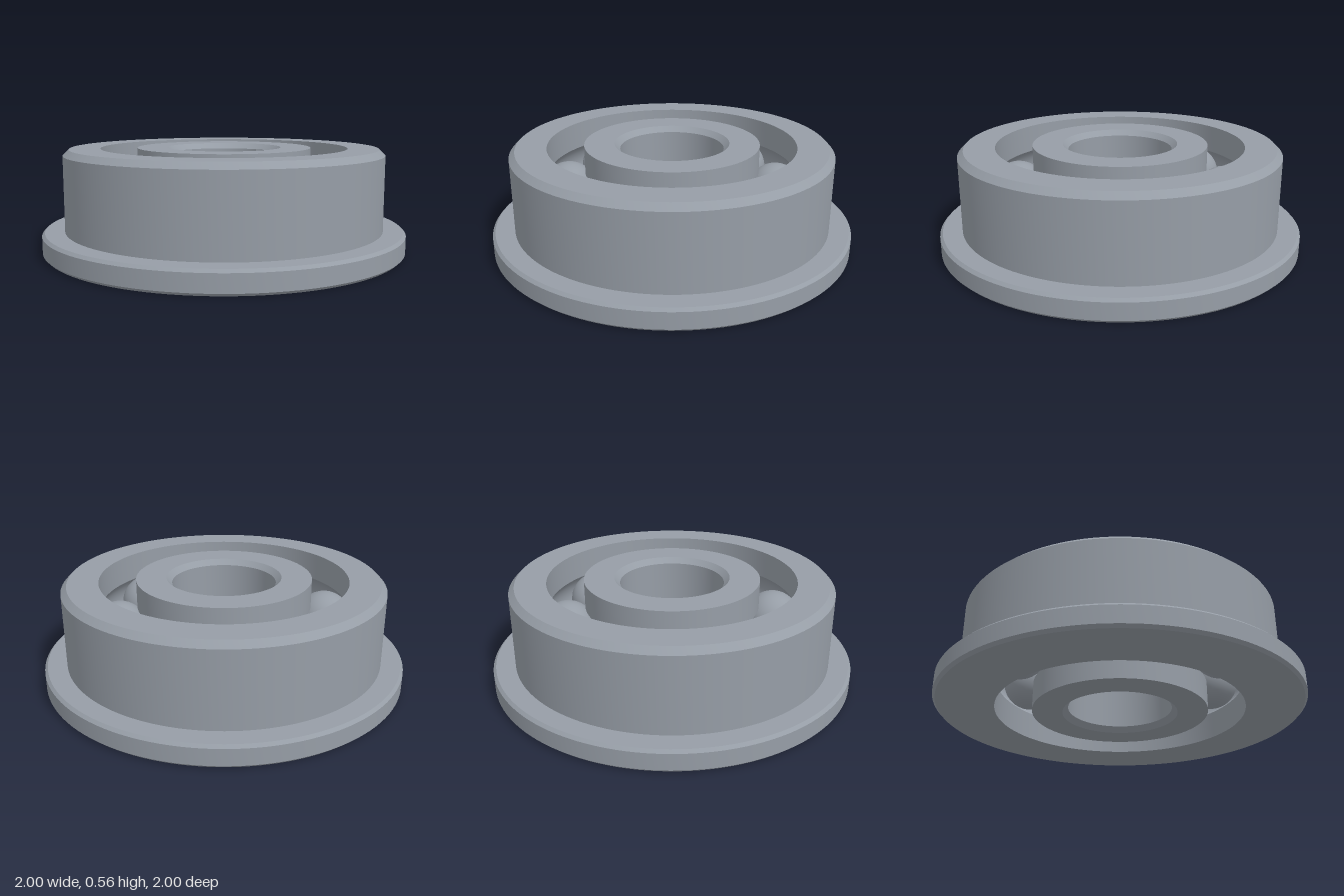
import * as THREE from 'three';
import { toCreasedNormals } from 'three/addons/utils/BufferGeometryUtils.js';

const HEIGHT = 0.56, MID = HEIGHT / 2;
const PITCH = 0.58, BALL = 0.155, GROOVE = 0.16;
const OUTER_WALL = 0.68, INNER_WALL = 0.48;

// Arc of the ball track cut into a wall of the given radius; side is +1 (outer) or -1 (inner)
function groove(wall, side, steps = 12) {
  const half = Math.acos(Math.abs(wall - PITCH) / GROOVE);
  return Array.from({ length: steps + 1 }, (_, i) => {
    const a = side * half * (1 - (2 * i) / steps); // outer runs downward, inner upward
    return [PITCH + side * GROOVE * Math.cos(a), MID + GROOVE * Math.sin(a)];
  });
}

// Closed ring from a counter-clockwise [radius, height] profile
function ring(name, profile, material) {
  const points = [...profile, profile[0]].map(([r, y]) => new THREE.Vector2(r, y));
  const mesh = new THREE.Mesh(toCreasedNormals(new THREE.LatheGeometry(points, 128), 0.5), material);
  mesh.name = name;
  return mesh;
}

export function createModel() {
  const group = new THREE.Group();
  group.name = 'flangedBallBearing';
  const steel = new THREE.MeshStandardMaterial({ color: 0x969da6 });
  steel.name = 'steel';

  // Outer race with chamfered flange and top edge
  group.add(ring('outerRace', [
    [OUTER_WALL, 0], [0.985, 0], [1, 0.015], [1, 0.105], [0.985, 0.12],
    [0.88, 0.12], [0.88, 0.528], [0.848, HEIGHT], [OUTER_WALL, HEIGHT],
    ...groove(OUTER_WALL, 1),
  ], steel));

  // Inner race with chamfered bore
  group.add(ring('innerRace', [
    [0.315, 0], [INNER_WALL, 0],
    ...groove(INNER_WALL, -1),
    [INNER_WALL, HEIGHT], [0.315, HEIGHT], [0.285, HEIGHT - 0.03], [0.285, 0.03],
  ], steel));

  // Eight balls between the races
  const balls = new THREE.Group();
  balls.name = 'balls';
  const ballGeometry = new THREE.SphereGeometry(BALL, 40, 24);
  for (let i = 0; i < 8; i++) {
    const a = THREE.MathUtils.degToRad(12 + i * 45);
    const ball = new THREE.Mesh(ballGeometry, steel);
    ball.name = 'ball';
    ball.position.set(PITCH * Math.cos(a), MID, PITCH * Math.sin(a));
    balls.add(ball);
  }
  group.add(balls);
  return group;
}
